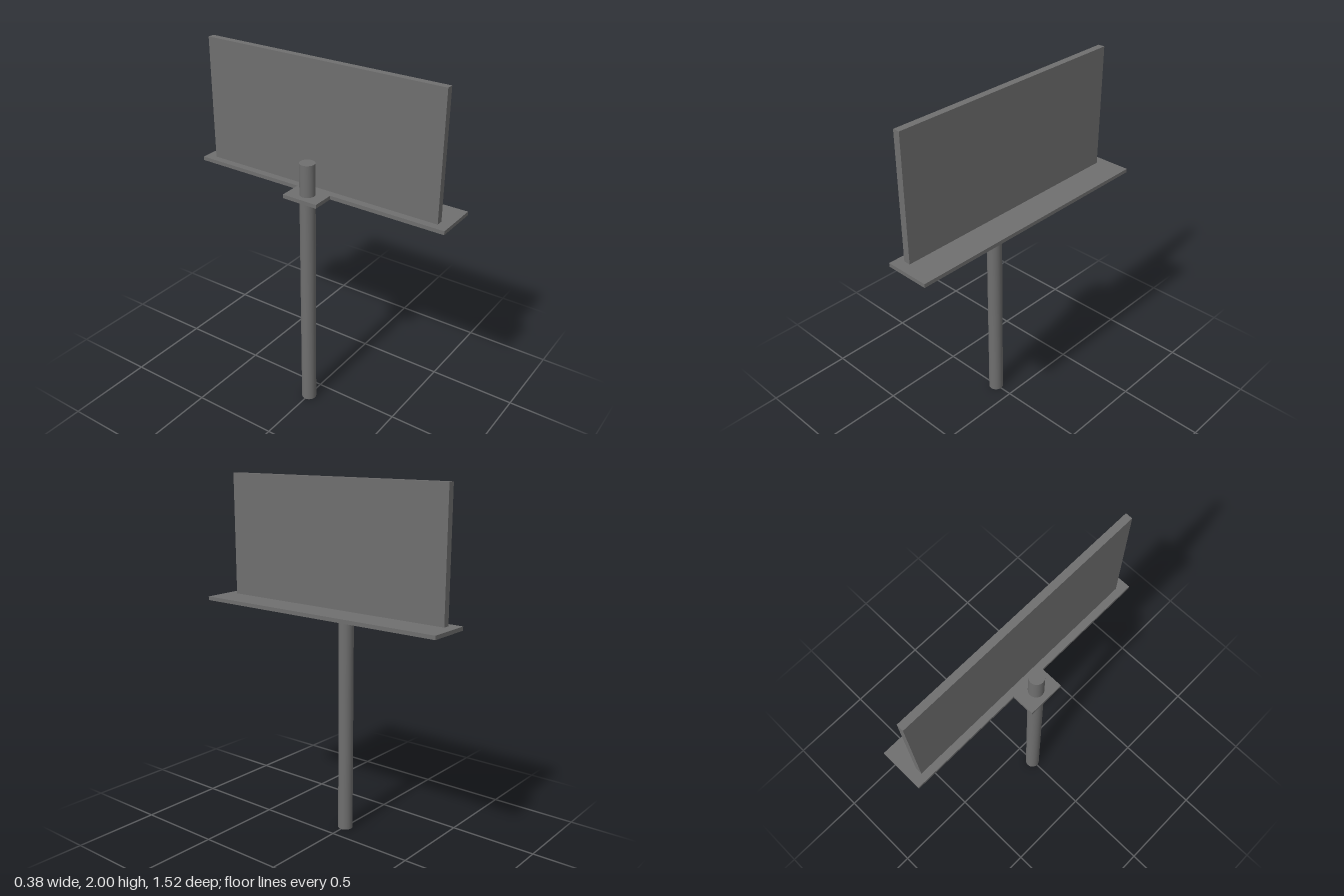
import * as THREE from 'three';

export function createModel() {
  const model = new THREE.Group();
  const material = new THREE.MeshStandardMaterial({ color: 0x6f6f6f, side: THREE.DoubleSide });

  const add = (name, geometry, x, y, z) => {
    const mesh = new THREE.Mesh(geometry, material);
    mesh.name = name;
    mesh.position.set(x, y, z);
    model.add(mesh);
  };

  const poleX = -0.115, poleRadius = 0.042, poleHeight = 1.493;
  const deckBottom = 1.295, deckTop = 1.316;

  // Pole: a tube, open at the foot and closed at the top
  add('pole', new THREE.CylinderGeometry(poleRadius, poleRadius, poleHeight, 32, 1, true), poleX, poleHeight / 2, 0);
  add('poleCap', new THREE.CircleGeometry(poleRadius, 32).rotateX(-Math.PI / 2), poleX, poleHeight, 0);

  // Walkway: a long strip with a bracket tab that surrounds the pole
  const outline = new THREE.Shape([
    [0.187, -0.76], [0.187, 0.76], [-0.061, 0.76], [-0.061, 0.104],
    [-0.188, 0.104], [-0.188, -0.104], [-0.061, -0.104], [-0.061, -0.76],
  ].map(([x, y]) => new THREE.Vector2(x, y)));
  const deck = new THREE.ExtrudeGeometry(outline, { depth: deckTop - deckBottom, bevelEnabled: false });
  add('walkway', deck.rotateX(-Math.PI / 2), 0, deckBottom, 0);

  // Upright display panel standing on the walkway
  const panelHeight = 2 - deckTop;
  add('panel', new THREE.BoxGeometry(0.038, panelHeight, 1.404), -0.001, deckTop + panelHeight / 2, 0);

  return model;
}
